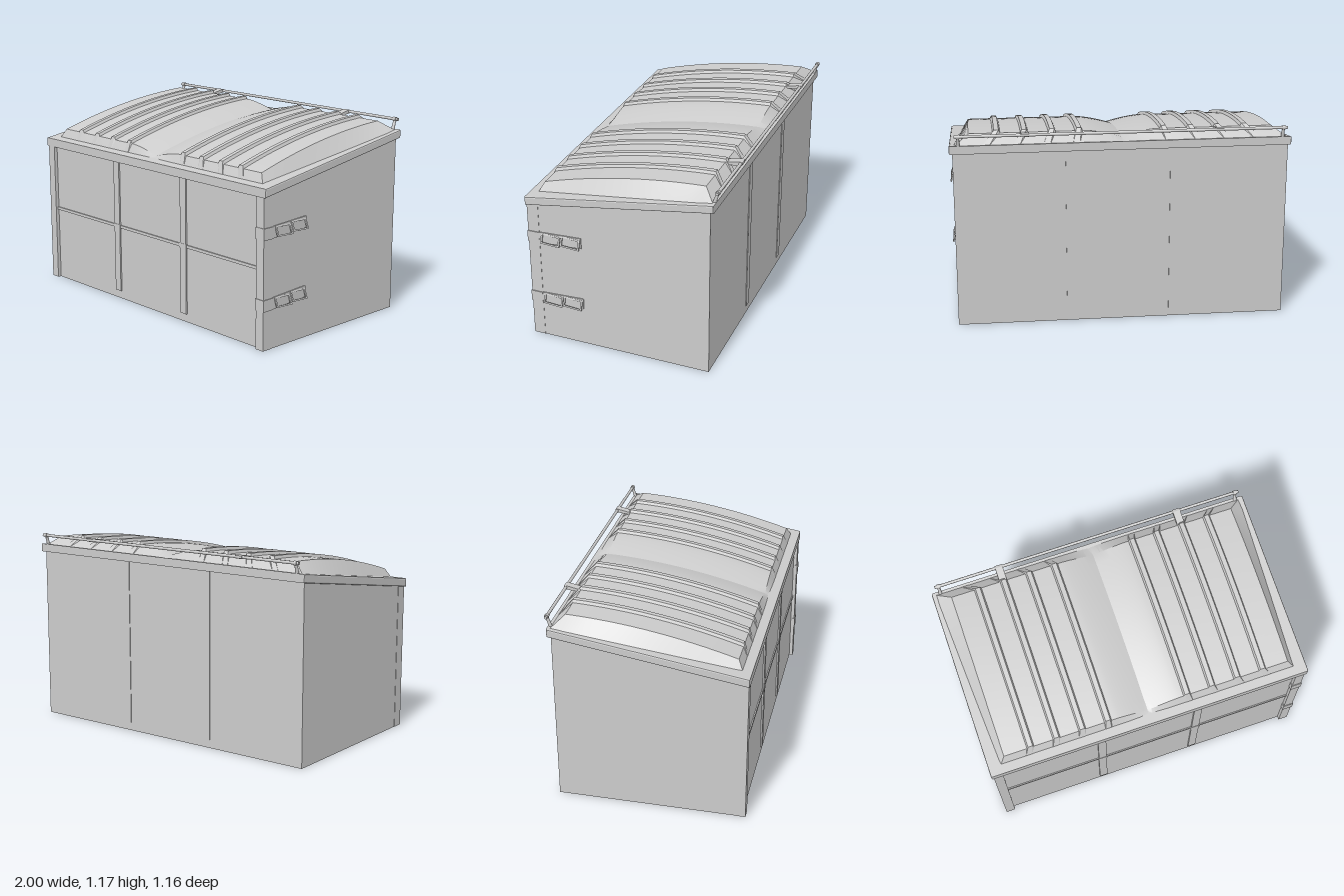
import * as THREE from 'three';
import { toCreasedNormals } from 'three/addons/utils/BufferGeometryUtils.js';

const CX = -0.009;                              // centre line of the container
const rimTop = z => 1.018 - 0.154 * z;          // sloping upper face of the lid rim

export function createModel() {
  const model = new THREE.Group();
  const grey = new THREE.MeshStandardMaterial({ color: 0xcccccc });
  const greyThin = new THREE.MeshStandardMaterial({ color: 0xcccccc, side: THREE.DoubleSide });

  const add = (name, geometry, parent = model, material = grey) => {
    const mesh = new THREE.Mesh(geometry, material);
    mesh.name = name;
    parent.add(mesh);
    return mesh;
  };
  // Box given by its limits
  const box = (name, x0, x1, y0, y1, z0, z1, parent) => {
    const g = new THREE.BoxGeometry(x1 - x0, y1 - y0, z1 - z0);
    g.translate((x0 + x1) / 2, (y0 + y1) / 2, (z0 + z1) / 2);
    return add(name, g, parent);
  };
  // Side profile of [z, y] points extruded from x0 to x1
  const sideExtrude = (name, pts, x0, x1, bevel = 0, parent = model) => {
    const shape = new THREE.Shape(pts.map(p => new THREE.Vector2(...p)));
    const g = new THREE.ExtrudeGeometry(shape, {
      depth: x1 - x0 - 2 * bevel, bevelEnabled: bevel > 0, bevelSize: bevel,
      bevelThickness: bevel, bevelOffset: -bevel, bevelSegments: 2,
    });
    g.rotateY(-Math.PI / 2).translate(x1 - bevel, 0, 0);
    return add(name, g, parent);
  };
  // Round bar between two points
  const bar = (name, a, b, r0, r1, parent) => {
    const from = new THREE.Vector3(...a), dir = new THREE.Vector3(...b).sub(from);
    const m = add(name, new THREE.CylinderGeometry(r1, r0, dir.length(), 12), parent);
    m.position.copy(from).addScaledVector(dir, 0.5);
    m.quaternion.setFromUnitVectors(new THREE.Vector3(0, 1, 0), dir.normalize());
    return m;
  };

  // Body with a sloping top, and front corner posts
  const top = z => rimTop(z) - 0.03;
  sideExtrude('body', [[0.553, 0], [0.553, top(0.553)], [-0.54, top(-0.54)], [-0.54, 0]], -0.985, 0.967);
  for (const [x0, x1] of [[-0.987, -0.93], [0.912, 0.969]])
    sideExtrude('cornerPost', [[0.575, 0], [0.575, top(0.575)], [0.505, top(0.505)], [0.505, 0]], x0, x1);

  // Wall stiffeners, front and back
  for (const x of [-0.315, 0.295]) {
    box('frontStiffener', x - 0.025, x + 0.025, 0.05, 0.9, 0.55, 0.562);
    box('backStiffener', x - 0.025, x + 0.025, 0.05, 1.06, -0.544, -0.535);
    box('crossJoint', x - 0.03, x + 0.03, 0.453, 0.481, 0.55, 0.564);
  }
  box('frontCrossBar', -0.93, 0.912, 0.458, 0.476, 0.55, 0.56);

  // Lid rim
  const lid = new THREE.Group();
  lid.name = 'lid';
  model.add(lid);
  sideExtrude('lidRim', [[0.58, 0.878], [0.58, 0.93], [-0.563, 1.105], [-0.563, 1.056]], -1, 0.985, 0.008, lid);

  // Arched lid panel with pressed ribs and a middle valley
  const ribs = [-0.73, -0.57, -0.413, -0.255, 0.237, 0.393, 0.553, 0.713];
  const columns = [[-0.892, 0], [0.874, 0]];    // [x, rib height]
  for (const r of ribs)
    columns.push([r - 0.022, 0], [r - 0.014, 0.017], [r + 0.014, 0.017], [r + 0.022, 0]);
  for (let i = -9; i <= 9; i++) columns.push([CX + i * 0.022, 0]);
  columns.sort((a, b) => a[0] - b[0]);
  const STEPS = 16, W = columns.length + 2, verts = [], index = [];
  const arch = z => 1.107 - 0.1656 * z - 0.1368 * z * z;
  const valley = x => 0.042 * Math.pow(Math.max(0, 1 - Math.abs(x - CX) / 0.21), 1.5);
  for (let i = -1; i <= STEPS + 1; i++) {
    const t = THREE.MathUtils.clamp(i / STEPS, 0, 1);
    const atBase = i < 0 || i > STEPS;
    const z = i < 0 ? 0.528 : i > STEPS ? -0.55 : 0.5 - 0.98 * t;
    const half = 0.92 + 0.05 * t;               // side skirt spreads towards the back
    const y0 = rimTop(z) - 0.004;
    verts.push(CX - half, y0, z);
    for (const [x, rib] of columns) {
      const edge = atBase ? CX + (x - CX) * (half - 0.005) / 0.883 : x;
      verts.push(edge, atBase ? y0 : arch(z) + rib - valley(x), z);
    }
    verts.push(CX + half, y0, z);
  }
  for (let i = 0; i < STEPS + 2; i++)
    for (let j = 0; j < W - 1; j++) {
      const a = i * W + j, b = a + 1, c = a + W, d = c + 1;
      index.push(a, b, c, b, d, c);
    }
  const panel = new THREE.BufferGeometry();
  panel.setAttribute('position', new THREE.Float32BufferAttribute(verts, 3));
  panel.setIndex(index);
  add('lidPanel', toCreasedNormals(panel, 0.45), lid, greyThin);

  // Rear hand rail with end posts and straps
  const rail = new THREE.Group();
  rail.name = 'rearRail';
  model.add(rail);
  bar('railBar', [-0.97, 1.162, -0.57], [0.955, 1.162, -0.57], 0.009, 0.009, rail);
  for (const x of [-0.947, 0.932]) {
    bar('railPost', [x, 1.09, -0.547], [x, 1.162, -0.57], 0.011, 0.008, rail);
    bar('railCollar', [x - 0.01, 1.162, -0.57], [x + 0.01, 1.162, -0.57], 0.013, 0.013, rail);
  }
  for (const x of [-0.572, 0.553])
    sideExtrude('railStrap', [[-0.475, 1.14], [-0.475, 1.155], [-0.565, 1.174], [-0.581, 1.17],
      [-0.581, 1.155], [-0.57, 1.151]], x - 0.023, x + 0.023, 0, rail);

  // Hinge straps on one side, each wrapping the post and carrying two tilted open frames
  for (const y of [0.672, 0.263]) {
    const strap = new THREE.Group();
    strap.name = 'sideStrap';
    model.add(strap);
    box('strapWrap', 0.908, 0.974, y - 0.034, y + 0.034, 0.505, 0.579, strap);
    sideExtrude('strapPlate', [[0.505, y - 0.032], [0.505, y + 0.036], [0.24, y + 0.049], [0.24, y - 0.018]],
      0.96, 0.973, 0, strap);
    for (const z of [0.43, 0.305]) {
      const rect = (C, w, h) => new C([[-w, -h], [w, -h], [w, h], [-w, h]]
        .map(([u, v]) => new THREE.Vector2(u, v - u * 0.05)));
      const outline = rect(THREE.Shape, 0.06, 0.031);
      outline.holes.push(rect(THREE.Path, 0.05, 0.022));
      const g = new THREE.ExtrudeGeometry(outline, { depth: 0.008, bevelEnabled: false });
      g.translate(0, 0, -0.008).rotateX(-0.36).rotateY(Math.PI / 2);
      // local x runs towards -z after the turn
      g.scale(1, 1, 1).translate(0.986, y + 0.005 + (0.43 - z) * 0.05, z);
      add('strapFrame', g, strap, greyThin);
    }
  }
  return model;
}
